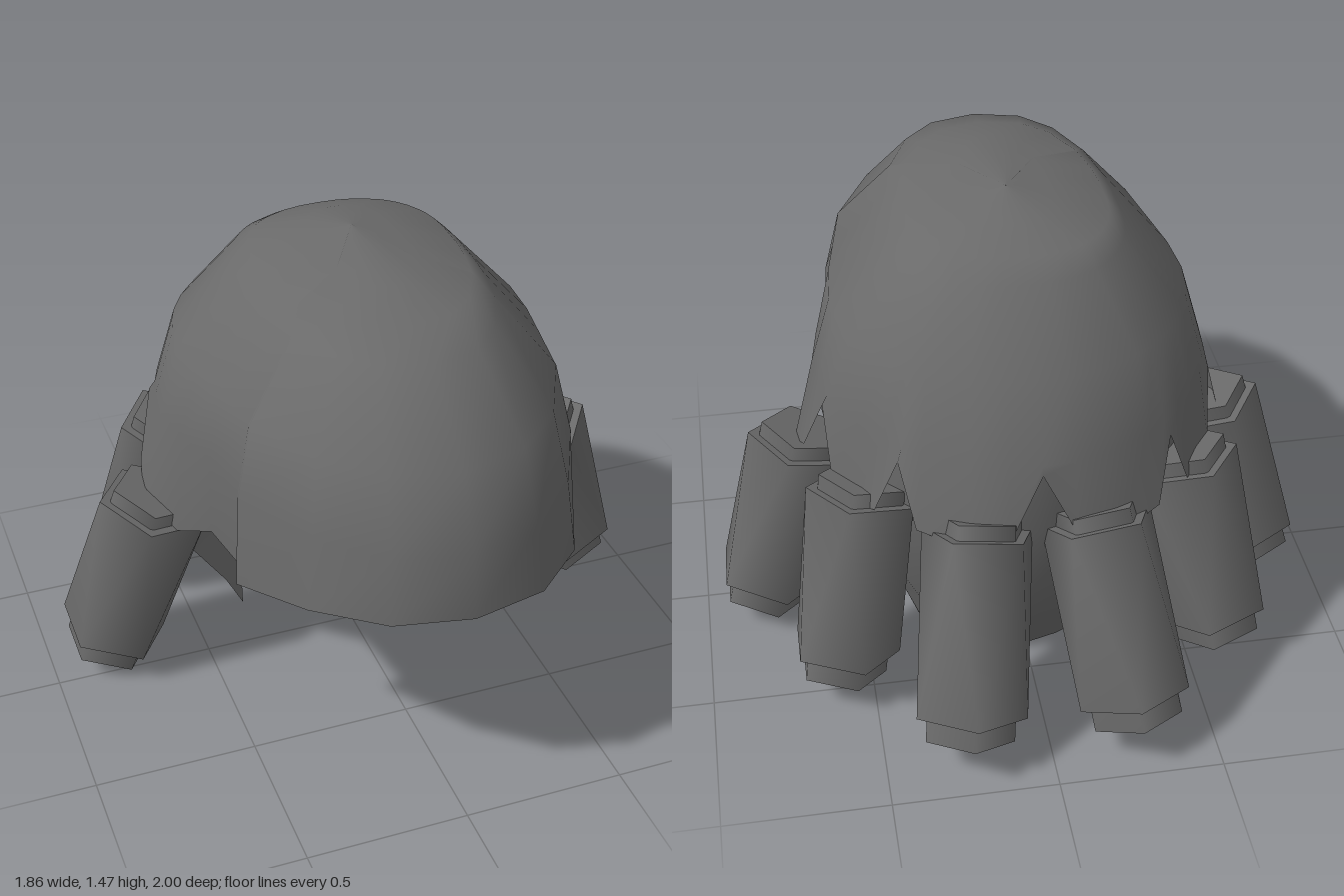
import * as THREE from 'three';

const hairGrey = new THREE.MeshStandardMaterial({ color: 0x6a6a6a, side: THREE.DoubleSide });
hairGrey.name = 'hairGrey';

// Skin a grid of points: rows of equal length, optionally closed around.
function skin(rows, closed) {
  const n = rows[0].length, index = [];
  for (let j = 0; j < rows.length - 1; j++) {
    for (let i = 0; i < (closed ? n : n - 1); i++) {
      const a = j * n + i, b = j * n + (i + 1) % n;
      index.push(a, b, b + n, a, b + n, a + n);
    }
  }
  const geo = new THREE.BufferGeometry();
  geo.setAttribute('position', new THREE.Float32BufferAttribute(rows.flat(2), 3));
  geo.setIndex(index);
  geo.computeVertexNormals();
  return geo;
}

function addMesh(parent, name, geo) {
  const mesh = new THREE.Mesh(geo, hairGrey);
  mesh.name = name;
  parent.add(mesh);
  return mesh;
}

// Dome of hair with a fringe, side slits and notches between the back locks.
function hairDome() {
  const half = [
    [0, 0.74, 1], [0.23, 0.735, 0.945], [0.41, 0.71, 0.77], [0.53, 0.62, 0.475],
    [0.51, 0.67, 0.465], [0.535, 0.65, 0.24], [0.61, 0.59, 0.12], [0.675, 0.64, -0.03],
    [0.65, 0.7, -0.14], [0.59, 0.9, -0.22], [0.58, 0.7, -0.3], [0.52, 0.66, -0.4],
    [0.47, 0.7, -0.49], [0.4, 0.9, -0.53], [0.36, 0.7, -0.6], [0.22, 0.68, -0.69],
    [0.1, 0.7, -0.7], [0, 0.9, -0.66],
  ];
  const mirrored = half.slice(1, -1).reverse().map(([x, y, z]) => [-x, y, z]);
  const hem = [...half, ...mirrored];
  const angles = hem.map(([x, , z]) => Math.atan2(x / 0.64, z / (z > 0 ? 1 : 0.7)));
  const bulge = (v, power) => Math.sign(v) * Math.abs(v) ** power;
  // Rings: height, front depth, half width, back depth, pinch at the temples, squareness.
  const rings = [
    [0.93, 0.97, 0.605, 0.655, 0.08, 1], [1.15, 0.885, 0.54, 0.55, 0.03, 0.95],
    [1.36, 0.66, 0.345, 0.375, 0, 0.85], [1.405, 0.52, 0.3, 0.3, 0, 0.85],
    [1.445, 0.36, 0.13, 0.18, 0, 0.9], [1.47, 0.001, 0.001, 0.001, 0, 1],
  ];
  const rows = rings.map(([y, front, side, back, pinch, power]) => angles.map((t) => {
    const c = Math.cos(t);
    const width = side * (1 - pinch * Math.exp(-(((c - 0.27) / 0.16) ** 2)));
    return [width * bulge(Math.sin(t), power), y, bulge(c, power) * (c > 0 ? front : back)];
  }));
  return skin([hem, ...rows], true);
}

// Inner layer tapering down to the nape.
function napeHair() {
  // Sections: height, half width, side z, back z.
  const sections = [
    [0, 0.32, -0.2, -0.39], [0.18, 0.4, -0.11, -0.48], [0.4, 0.53, -0.02, -0.56],
    [0.65, 0.58, 0.1, -0.61], [0.93, 0.57, 0.1, -0.62],
  ];
  const steps = 10;
  return skin(sections.map(([y, w, side, back], row) =>
    Array.from({ length: steps + 1 }, (_, i) => {
      const t = Math.PI * (i / steps - 0.5);
      // Uneven lower edge on one side.
      const lift = row === 0 && t > 0.2 && i < steps ? 0.06 * Math.sin(t) : 0;
      return [-w * Math.sin(t), y + lift, side + (back - side) * Math.cos(t)];
    })), false);
}

// Five-sided roll whose upper end is turned by half a side.
function twistedRoll(radius, height) {
  const geo = new THREE.CylinderGeometry(radius, radius, height, 5);
  const axis = new THREE.Vector3(0, 1, 0), v = new THREE.Vector3();
  const { position, normal } = geo.attributes;
  for (let i = 0; i < position.count; i++) {
    if (position.getY(i) < 0) continue;
    for (const attribute of [position, normal]) {
      v.fromBufferAttribute(attribute, i).applyAxisAngle(axis, -Math.PI / 5);
      attribute.setXYZ(i, v.x, v.y, v.z);
    }
  }
  return geo;
}

// Curl: a wide roll with a narrower core showing at both ends.
function hairCurl(top, bottom, turn, mirror) {
  const a = new THREE.Vector3(...top), b = new THREE.Vector3(...bottom);
  a.x *= mirror;
  b.x *= mirror;
  const axis = a.clone().sub(b), length = axis.length();
  const curl = new THREE.Group();
  curl.name = 'hairCurl';
  // Parts: name, radius, height, shift along the axis.
  const parts = [['curlRoll', 0.174, length, 0], ['curlCore', 0.14, length + 0.12, -0.015]];
  for (const [name, radius, height, shift] of parts) {
    const geo = twistedRoll(radius, height);
    geo.rotateY(turn * mirror);
    geo.translate(0, shift, 0);
    addMesh(curl, name, geo);
  }
  curl.position.copy(a).add(b).multiplyScalar(0.5);
  curl.quaternion.setFromUnitVectors(new THREE.Vector3(0, 1, 0), axis.normalize());
  return curl;
}

export function createModel() {
  const model = new THREE.Group();
  model.name = 'hair';
  addMesh(model, 'hairDome', hairDome());
  addMesh(model, 'napeHair', napeHair());

  // Three curls on each side: top centre, bottom centre, turn about the axis.
  const curls = [
    [[0.65, 0.615, -0.015], [0.795, 0.13, -0.07], Math.PI + 0.28],
    [[0.49, 0.665, -0.355], [0.585, 0.155, -0.48], Math.PI + 0.28],
    [[0.175, 0.68, -0.61], [0.245, 0.18, -0.84], Math.PI],
  ];
  for (const mirror of [1, -1]) {
    for (const [top, bottom, turn] of curls) model.add(hairCurl(top, bottom, turn, mirror));
  }
  return model;
}
